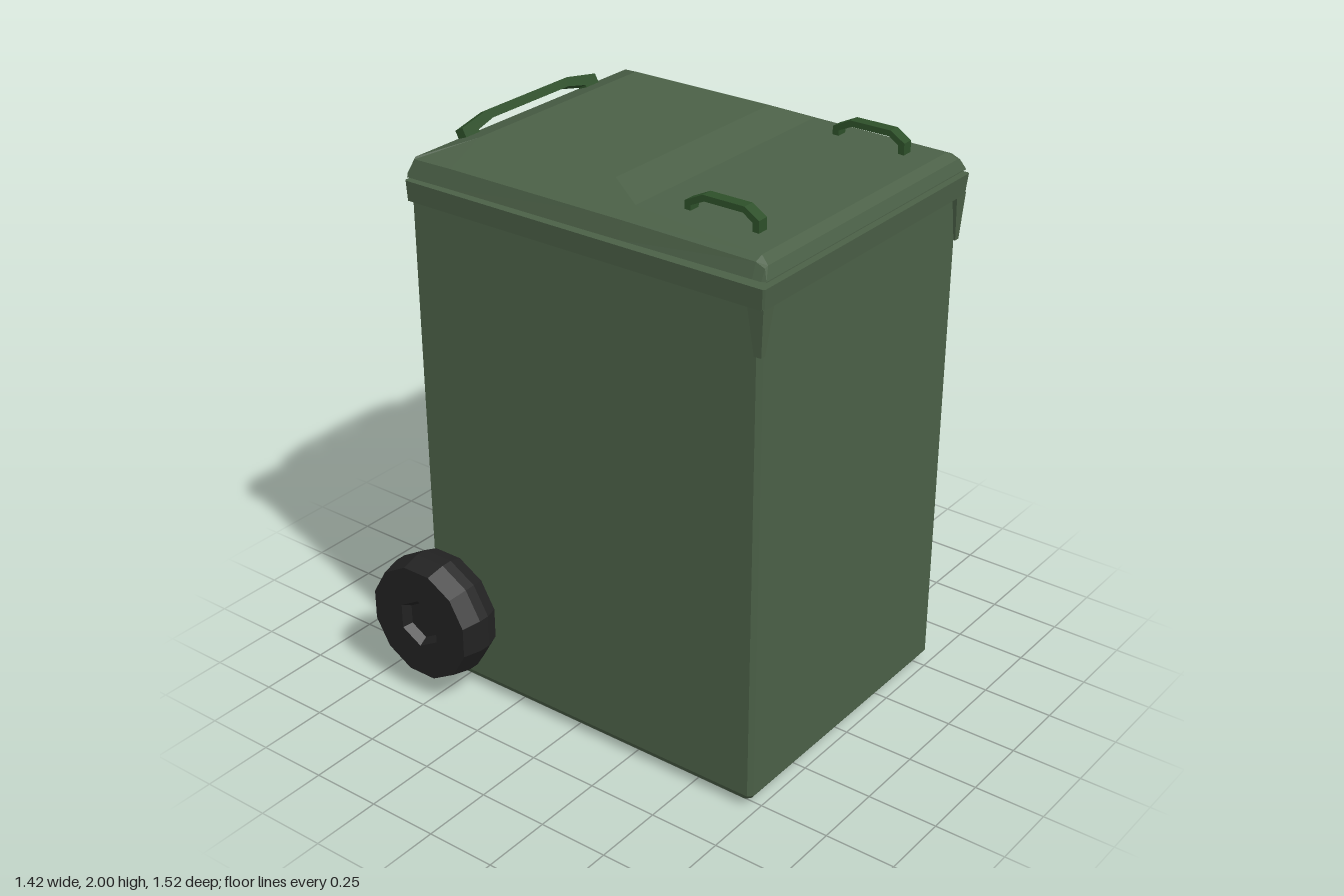
import * as THREE from 'three';

const mat = (color) => new THREE.MeshStandardMaterial({ color, flatShading: true, side: THREE.DoubleSide });

// Solid skinned over a stack of equal-length rings, capped at both ends
function loft(rings) {
  const pos = [];
  const tri = (a, b, c) => pos.push(...a, ...b, ...c);
  const n = rings[0].length;
  for (let r = 0; r < rings.length - 1; r++) {
    for (let i = 0; i < n; i++) {
      const j = (i + 1) % n, lo = rings[r], hi = rings[r + 1];
      tri(lo[i], hi[i], hi[j]);
      tri(lo[i], hi[j], lo[j]);
    }
  }
  const first = rings[0], last = rings[rings.length - 1];
  for (let i = 1; i < n - 1; i++) {
    tri(first[0], first[i], first[i + 1]);
    tri(last[0], last[i + 1], last[i]);
  }
  const g = new THREE.BufferGeometry();
  g.setAttribute('position', new THREE.Float32BufferAttribute(pos, 3));
  g.computeVertexNormals();
  return g;
}

// Horizontal rectangle with small chamfered corners
function outline(y, w, front, c = 0.015, back = -0.62) {
  return [
    [-w + c, y, back], [w - c, y, back], [w, y, back + c], [w, y, front - c],
    [w - c, y, front], [-w + c, y, front], [-w, y, front - c], [-w, y, back + c],
  ];
}

function polygon(points) {
  return new THREE.Shape(points.map(([x, y]) => new THREE.Vector2(x, y)));
}

function extrude(points, depth) {
  const g = new THREE.ExtrudeGeometry(polygon(points), { depth, bevelEnabled: false });
  return g.translate(0, 0, -depth / 2);
}

function createWheel(material) {
  const wheel = new THREE.Group();
  const add = (g, name) => {
    const m = new THREE.Mesh(g, material);
    m.name = name;
    wheel.add(m);
  };
  // Twelve-sided tyre, its axis turned onto x
  const profile = [[0, -0.08], [0.21, -0.08], [0.226, -0.03], [0.226, 0.01], [0.21, 0.08]];
  const tyre = new THREE.LatheGeometry(profile.map(([r, y]) => new THREE.Vector2(r, y)), 12);
  add(tyre.rotateY(Math.PI / 12).rotateZ(-Math.PI / 2), 'tyre');
  // Outer face with a hexagonal hole
  const ring = (r, n, offset) => Array.from({ length: n }, (_, i) => {
    const a = offset + (i / n) * Math.PI * 2;
    return [r * Math.cos(a), r * Math.sin(a)];
  });
  const face = polygon(ring(0.21, 12, Math.PI / 12));
  face.holes.push(polygon(ring(0.09, 6, Math.PI / 6)));
  add(new THREE.ShapeGeometry(face).rotateY(Math.PI / 2).translate(0.08, 0, 0), 'wheelFace');
  // Tapered hub recess and its floor
  const recess = new THREE.CylinderGeometry(0.09, 0.07, 0.03, 6, 1, true);
  add(recess.rotateZ(-Math.PI / 2).rotateX(Math.PI / 2).translate(0.065, 0, 0), 'hubRecess');
  const floor = polygon(ring(0.07, 6, Math.PI / 6));
  add(new THREE.ShapeGeometry(floor).rotateY(Math.PI / 2).translate(0.05, 0, 0), 'hubFloor');
  return wheel;
}

export function createModel() {
  const bin = new THREE.Group();
  bin.name = 'wheeledBin';
  const green = mat(0x4b6047), darkGreen = mat(0x2d4f29), black = mat(0x222222);
  const add = (g, material, name) => {
    const m = new THREE.Mesh(g, material);
    m.name = name;
    bin.add(m);
    return m;
  };

  // Body with a bevelled foot
  add(loft([
    outline(0.003, 0.49, 0.68), outline(0.015, 0.515, 0.71), outline(0.05, 0.54, 0.735),
    outline(1.8, 0.545, 0.74),
  ]), green, 'body');

  // Rim around the mouth
  add(loft([outline(1.78, 0.56, 0.757, 0.006), outline(1.85, 0.566, 0.763, 0.006)]), green, 'rim');

  // Tapered brackets under the front rim corners
  const bracketRing = (s, y, x0, x1, z0, z1) => {
    const a = s > 0 ? x0 : -x1, b = s > 0 ? x1 : -x0;
    return [[a, y, z0], [b, y, z0], [b, y, z1], [a, y, z1]];
  };
  for (const s of [1, -1]) {
    add(loft([
      bracketRing(s, 1.625, 0.53, 0.55, 0.72, 0.746),
      bracketRing(s, 1.785, 0.505, 0.56, 0.7, 0.757),
    ]), green, s > 0 ? 'leftRimBracket' : 'rightRimBracket');
  }

  // Lid sections from back to front: z, skirt bottom, shoulder, top, top half width
  const lidRows = [
    [-0.62, 1.855, 1.87, 1.87, 0.548],
    [-0.6, 1.856, 1.915, 1.922, 0.53],
    [-0.45, 1.858, 1.918, 1.98, 0.4],
    [0.1, 1.86, 1.918, 1.98, 0.4],
    [0.23, 1.861, 1.918, 1.945, 0.47],
    [0.71, 1.865, 1.913, 1.925, 0.505],
    [0.742, 1.865, 1.9, 1.905, 0.52],
    [0.757, 1.865, 1.868, 1.868, 0.548],
  ];
  add(loft(lidRows.map(([z, b, m, t, w]) => {
    const shoulder = Math.max(0.535, w);
    return [[-0.552, b, z], [-shoulder, m, z], [-w, t, z], [w, t, z], [shoulder, m, z], [0.552, b, z]];
  })), green, 'lid');

  // Two grab handles on the front of the lid
  const grip = [
    [0.622, 1.92], [0.622, 1.968], [0.57, 2], [0.42, 2], [0.355, 1.968], [0.355, 1.93],
    [0.377, 1.93], [0.377, 1.957], [0.426, 1.98], [0.564, 1.98], [0.6, 1.957], [0.6, 1.92],
  ];
  for (const [x, name] of [[0.41, 'leftLidHandle'], [-0.376, 'rightLidHandle']]) {
    add(extrude(grip, 0.04).rotateY(-Math.PI / 2).translate(x, 0, 0), darkGreen, name);
  }

  // Arched bar leaning back from the rear of the lid
  const bar = [
    [-0.335, 0], [-0.335, 0.042], [-0.2, 0.066], [0.2, 0.066], [0.335, 0.042], [0.335, 0],
    [0.27, 0], [0.27, 0.018], [0.19, 0.036], [-0.19, 0.036], [-0.27, 0.018], [-0.27, 0],
  ];
  const rear = add(extrude(bar, 0.035), darkGreen, 'rearHandle');
  rear.rotation.x = -0.5;
  rear.position.set(0, 1.92, -0.572);

  // Wheels
  for (const s of [1, -1]) {
    const wheel = createWheel(black);
    wheel.name = s > 0 ? 'leftWheel' : 'rightWheel';
    wheel.position.set(s * 0.63, 0.3, -0.535);
    if (s < 0) wheel.rotation.y = Math.PI;
    bin.add(wheel);
  }
  return bin;
}
